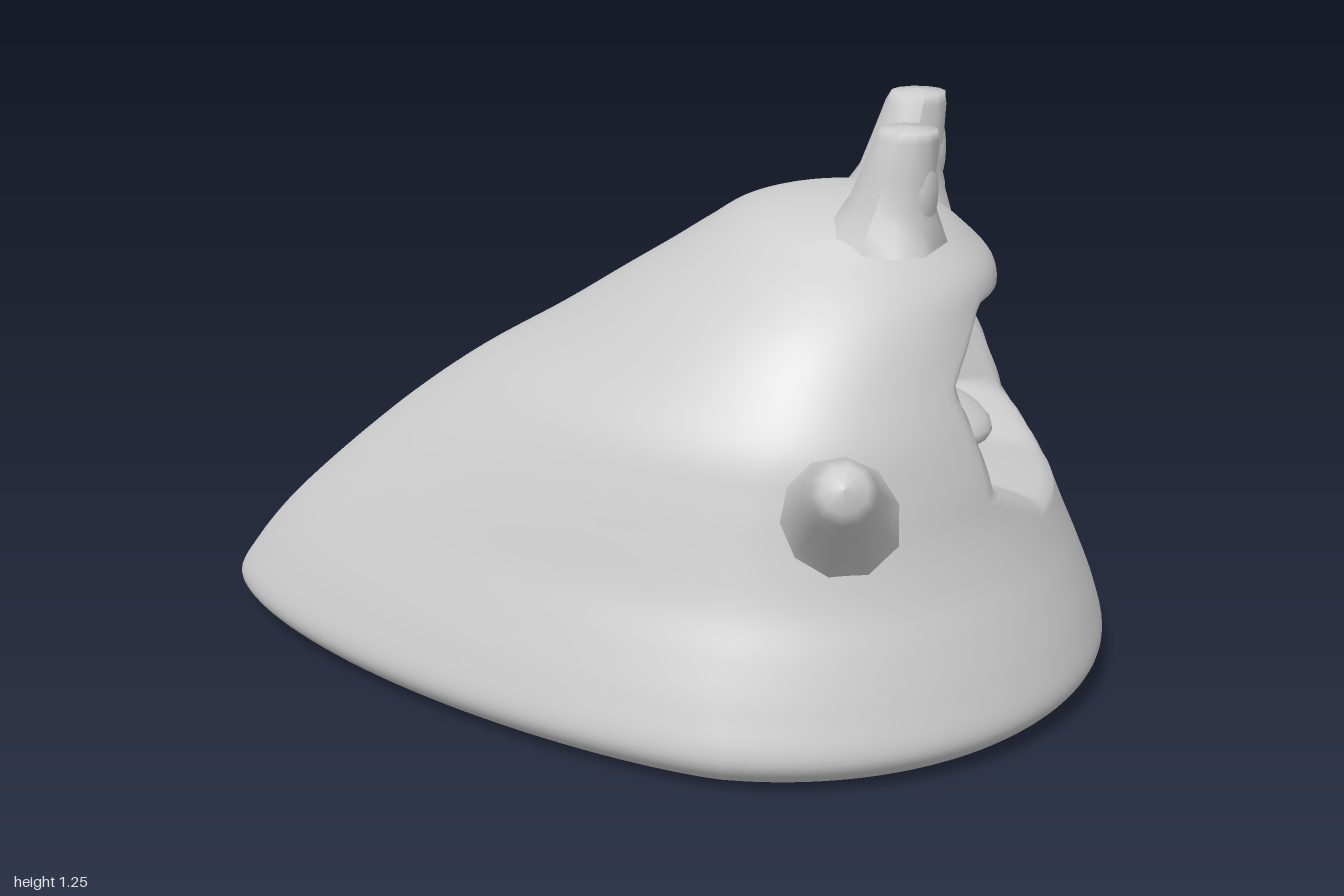
import * as THREE from 'three';

const material = new THREE.MeshStandardMaterial({ color: 0xcccccc });
const SEGMENTS = 160, STEPS = 6;

// body sections: height, back x, front x, half width, back roundness, x of widest point
const SECTIONS = [
  [0.0, -0.86, 0.90, 0.65, 1.4, 0.25],
  [0.025, -0.95, 0.96, 0.71, 1.4, 0.25],
  [0.08, -1.0, 1.0, 0.75, 1.4, 0.25],
  [0.17, -0.95, 0.98, 0.725, 1.42, 0.25],
  [0.27, -0.87, 0.94, 0.685, 1.45, 0.26],
  [0.36, -0.78, 0.90, 0.645, 1.5, 0.27],
  [0.46, -0.67, 0.86, 0.615, 1.55, 0.28],
  [0.56, -0.55, 0.83, 0.59, 1.6, 0.3],
  [0.66, -0.41, 0.79, 0.56, 1.65, 0.32],
  [0.76, -0.24, 0.755, 0.50, 1.7, 0.34],
  [0.85, -0.10, 0.735, 0.43, 1.75, 0.36],
  [0.92, 0.01, 0.72, 0.355, 1.8, 0.38],
  [0.98, 0.10, 0.665, 0.275, 1.9, 0.4],
  [1.03, 0.18, 0.60, 0.20, 2, 0.42],
  [1.06, 0.29, 0.52, 0.11, 2, 0.42],
  [1.07, 0.42, 0.42, 0, 2, 0.42],
];

// Octagonal hollow with a long sloping roof
function mouthDepth(y, z) {
  const u = Math.abs(z) / 0.335;
  const v = y > 0.61 ? (y - 0.61) / 0.27 : (0.61 - y) / 0.18;
  const d = Math.max(u, v, (u + v) / 1.5);
  return 0.36 * (1 - THREE.MathUtils.smoothstep(d, 0.5, 1));
}

function ring(y, back, front, width, n, mid) {
  const points = [];
  for (let j = 0; j < SEGMENTS; j++) {
    const a = (j / SEGMENTS) * Math.PI * 2;
    const c = Math.cos(a), s = Math.sin(a);
    const p = c > 0 ? 1 : 2 / n;
    const z = width * Math.sign(s) * Math.abs(s) ** p;
    let x = mid + (c > 0 ? (front - mid) * c : (back - mid) * Math.abs(c) ** p);
    if (c > 0) x -= mouthDepth(y, z);
    points.push(new THREE.Vector3(x, y, z));
  }
  return points;
}

function bodyGeometry() {
  const shape = new THREE.CatmullRomCurve3(
    SECTIONS.map(([y, b, f]) => new THREE.Vector3(y, b, f)), false, 'catmullrom');
  const spread = new THREE.CatmullRomCurve3(
    SECTIONS.map((s) => new THREE.Vector3(s[3], s[4], s[5])), false, 'catmullrom');
  const rows = (SECTIONS.length - 1) * STEPS;
  const points = [], index = [];
  for (let i = 0; i <= rows; i++) {
    const p = shape.getPoint(i / rows), q = spread.getPoint(i / rows);
    points.push(...ring(p.x, p.y, p.z, q.x, q.y, q.z));
    if (i === rows) break;
    for (let j = 0; j < SEGMENTS; j++) {
      const a = i * SEGMENTS + j, b = i * SEGMENTS + ((j + 1) % SEGMENTS);
      index.push(a, a + SEGMENTS, b, b, a + SEGMENTS, b + SEGMENTS);
    }
  }
  const geometry = new THREE.BufferGeometry().setFromPoints(points);
  geometry.setIndex(index);
  geometry.computeVertexNormals();
  return geometry;
}

function addMesh(parent, name, geometry) {
  const mesh = new THREE.Mesh(geometry, material);
  mesh.name = name;
  parent.add(mesh);
  return mesh;
}

// Tapered arm that flares into the flank, aimed from its base to its tip
function addArm(parent, name, base, tip) {
  const from = new THREE.Vector3(...base), to = new THREE.Vector3(...tip);
  const length = from.distanceTo(to);
  const profile = [[0.16, 0], [0.125, 0.16], [0.105, 0.32], [0.09, 0.5], [0.075, 0.7],
    [0.063, 0.88], [0.045, 0.96], [0, 1]].map(([r, t]) => new THREE.Vector2(r, t * length));
  const arm = addMesh(parent, name, new THREE.LatheGeometry(profile, 10));
  arm.position.copy(from);
  arm.quaternion.setFromUnitVectors(new THREE.Vector3(0, 1, 0), to.sub(from).normalize());
}

// Flat-topped stalk with an oval eye set into its face
function addEye(parent, name, side, z, height) {
  const eye = new THREE.Group();
  eye.name = name;
  const profile = [[1.7, 0], [1.3, 0.22], [1.08, 0.36], [0.95, 0.6], [0.8, 0.9], [0.7, 0.98], [0, 1]]
    .map(([r, t]) => new THREE.Vector2(r, t));
  const stalk = new THREE.LatheGeometry(profile, 12);
  const pos = stalk.attributes.position;
  for (let i = 0; i < pos.count; i++) {
    const t = pos.getY(i);
    // squarer section, leaning forward so that the face stays upright
    const square = (v) => Math.sign(v) * Math.min(Math.abs(v), 0.85 * (1.7 - 0.9 * t));
    pos.setXYZ(i, square(pos.getX(i)) * 0.085 + 0.055 * t, t * height, square(pos.getZ(i)) * 0.078);
  }
  stalk.computeVertexNormals();
  addMesh(eye, name + 'Stalk', stalk);
  const ball = addMesh(eye, name + 'Ball', new THREE.SphereGeometry(1, 20, 14));
  ball.scale.set(0.03, 0.09, 0.046);
  ball.position.set(0.088, height - 0.135, 0);
  eye.position.set(0.49, 0.99, z);
  eye.rotation.y = -side * 0.3;
  parent.add(eye);
}

export function createModel() {
  const model = new THREE.Group();
  model.name = 'slugCreature';

  addMesh(model, 'body', bodyGeometry());

  // flat underside
  const outline = ring(...SECTIONS[0]).map((p) => new THREE.Vector2(p.x, p.z));
  addMesh(model, 'underside', new THREE.ShapeGeometry(new THREE.Shape(outline)).rotateX(Math.PI / 2));

  // tongue on the mouth floor
  const tongue = addMesh(model, 'tongue', new THREE.SphereGeometry(1, 24, 14));
  tongue.scale.set(0.19, 0.055, 0.19);
  tongue.position.set(0.55, 0.57, -0.02);
  tongue.rotation.z = -0.2;

  addArm(model, 'leftArm', [0.44, 0.5, 0.47], [0.49, 0.735, 0.885]);
  addArm(model, 'rightArm', [0.29, 0.5, -0.47], [0.245, 0.72, -0.885]);

  addEye(model, 'leftEye', 1, 0.145, 0.25);
  addEye(model, 'rightEye', -1, -0.125, 0.265);
  return model;
}
